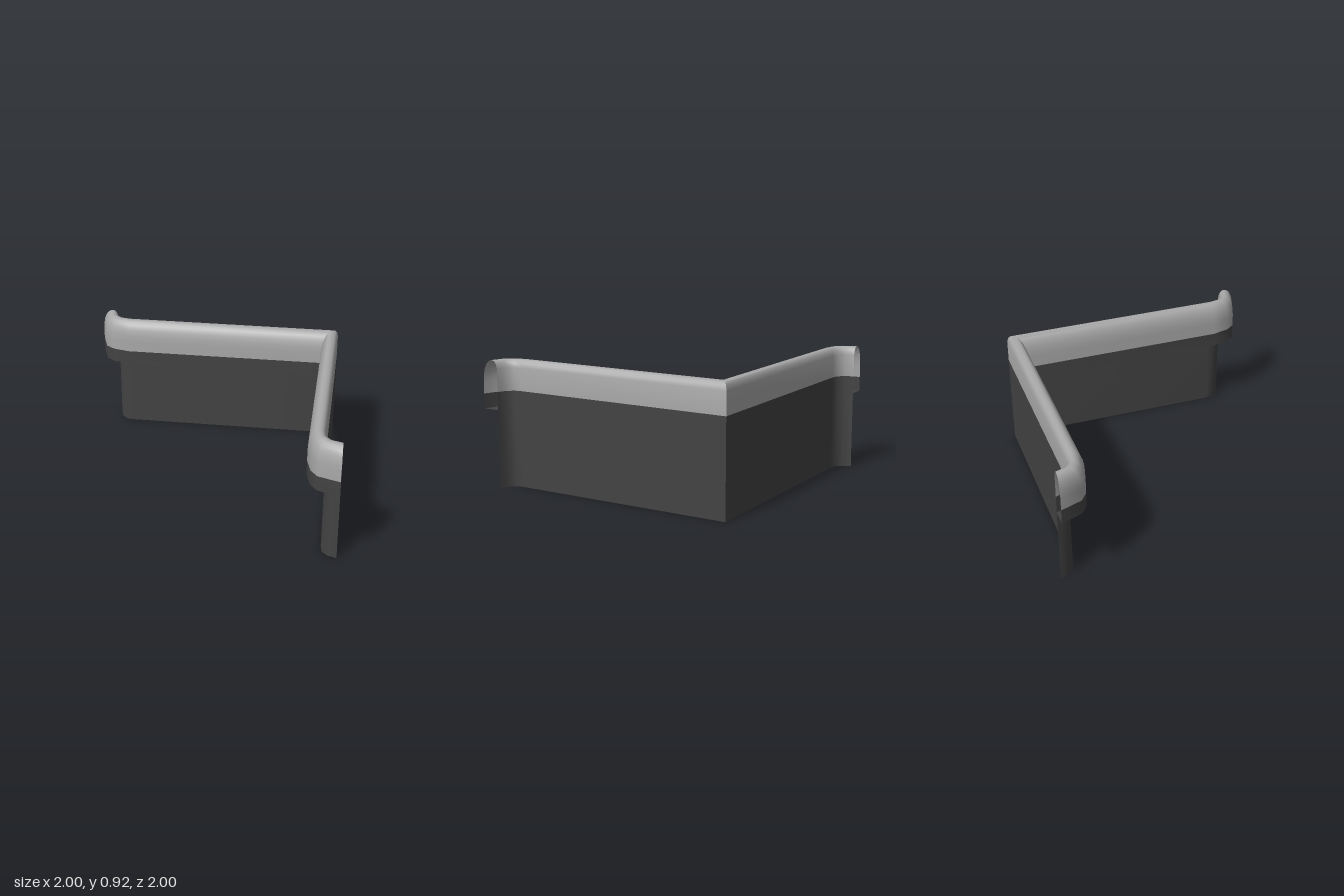
import * as THREE from 'three';
import { toCreasedNormals } from 'three/addons/utils/BufferGeometryUtils.js';

// Plan of the first half, as [x, z]: curled end, straight run, mitred corner.
const wallHalf = [[-0.878, -1], [-0.86, -0.94], [-0.815, -0.895], [-0.75, -0.885], [0.882, -0.885]];
const lipHalf = [[-1, -1], [-0.945, -0.845], [-0.88, -0.797], [-0.755, -0.765], [0.762, -0.765]];

// The second half mirrors the first across the corner's diagonal.
const mirrored = (half) => [
  ...half,
  ...half.slice(0, -1).reverse().map(([x, z]) => [-z, -x]),
];
const wallPath = mirrored(wallHalf);
const lipPath = mirrored(lipHalf);

// Sweeps a profile of [offset from wall (0) to lip (1), height] along the plan.
function sweep(profile) {
  const positions = [];
  const index = [];
  const n = profile.length;
  wallPath.forEach(([wx, wz], i) => {
    const [lx, lz] = lipPath[i];
    for (const [t, y] of profile) {
      positions.push(wx + (lx - wx) * t, y, wz + (lz - wz) * t);
    }
  });
  for (let i = 0; i < wallPath.length - 1; i++) {
    for (let j = 0; j < n - 1; j++) {
      const a = i * n + j;
      const b = a + n;
      index.push(a, a + 1, b + 1, a, b + 1, b);
    }
  }
  const geometry = new THREE.BufferGeometry();
  geometry.setAttribute('position', new THREE.Float32BufferAttribute(positions, 3));
  geometry.setIndex(index);
  return toCreasedNormals(geometry, 0.75);
}

export function createModel() {
  const group = new THREE.Group();
  group.name = 'cornerBarrier';

  const material = (name, color) => {
    const m = new THREE.MeshStandardMaterial({ color, side: THREE.DoubleSide });
    m.name = name;
    return m;
  };
  const dark = material('darkGrey', 0x434343);
  const light = material('lightGrey', 0xa8a8a8);

  const add = (name, profile, mat) => {
    const mesh = new THREE.Mesh(sweep(profile), mat);
    mesh.name = name;
    group.add(mesh);
  };

  // Tall outer sheet
  add('wall', [[0, 0], [0, 0.697]], dark);

  // Rounded light cap rolling over from the wall to the lip
  add('cap', [
    [0, 0.697], [0, 0.86], [0.06, 0.892], [0.17, 0.912], [0.3, 0.919], [0.45, 0.919],
    [0.62, 0.91], [0.78, 0.888], [0.91, 0.85], [0.98, 0.805], [1, 0.76], [1, 0.675],
  ], light);

  // Dark lower edge of the lip, closed underneath back to the wall
  add('lip', [[1, 0.675], [1, 0.568], [0, 0.568]], dark);

  return group;
}
